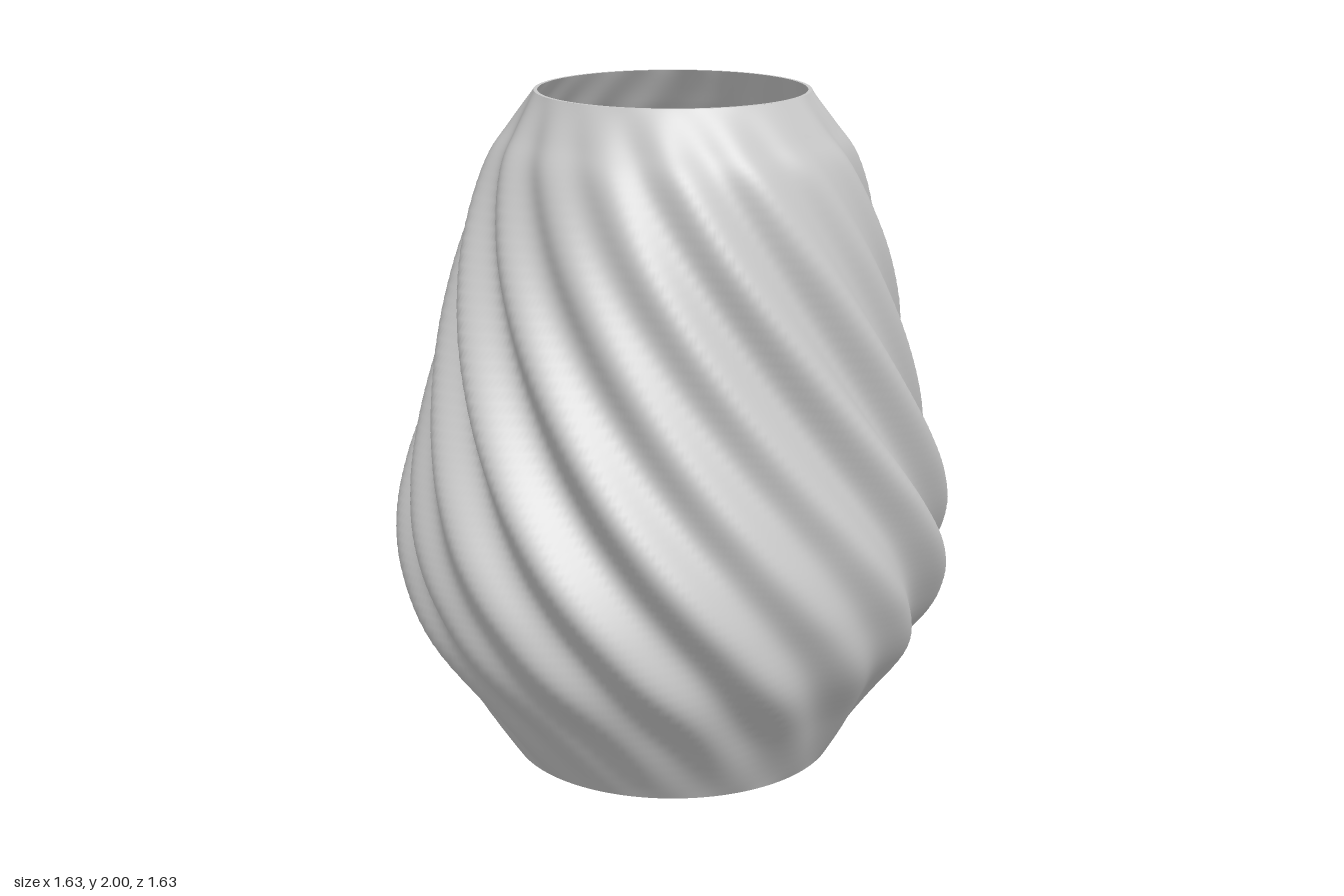
import * as THREE from 'three';

const TWIST = Math.PI / 3, PHASE = 0.15, DEPTH = 0.034, WALL = 0.011;
const AROUND = 320, ROWS = 72;

// Outer envelope of the vase: radius, height
const profile = new THREE.SplineCurve([
  [0.49, 0], [0.62, 0.2], [0.755, 0.4], [0.81, 0.57], [0.822, 0.72], [0.802, 0.87], [0.767, 1.02],
  [0.72, 1.2], [0.668, 1.4], [0.61, 1.6], [0.535, 1.8], [0.47, 1.9], [0.4, 2],
].map(([r, y]) => new THREE.Vector2(r, y)));

// Twisted surface: sixteen lobes, with one steeper step in each quarter, fading out at both ends
function lobedSurface(inset, inward) {
  const positions = [], index = [];
  for (let j = 0; j <= ROWS; j++) {
    const { x: r, y } = profile.getPoint(j / ROWS);
    const depth = DEPTH * Math.pow(Math.max(0, Math.sin(Math.PI * y / 2)), 0.85);
    for (let i = 0; i < AROUND; i++) {
      const a = (i / AROUND) * Math.PI * 2;
      const turn = a + TWIST * y - PHASE;
      const wave = -Math.sin(16 * turn) - 0.42 * Math.sin(12 * turn);
      const radius = r - inset + depth * (wave - 0.8);
      positions.push(Math.sin(a) * radius, y, Math.cos(a) * radius);
    }
  }
  for (let j = 0; j < ROWS; j++) {
    for (let i = 0; i < AROUND; i++) {
      const k = (i + 1) % AROUND;
      const a = j * AROUND + i, b = j * AROUND + k;
      const c = b + AROUND, d = a + AROUND;
      if (inward) index.push(a, c, b, a, d, c);
      else index.push(a, b, c, a, c, d);
    }
  }
  const geometry = new THREE.BufferGeometry();
  geometry.setAttribute('position', new THREE.Float32BufferAttribute(positions, 3));
  geometry.setIndex(index);
  geometry.computeVertexNormals();
  return geometry;
}

export function createModel() {
  const group = new THREE.Group();
  group.name = 'twistedVase';
  const grey = new THREE.MeshStandardMaterial({ color: 0xc8c8c8 });
  grey.name = 'light grey';

  const add = (name, geometry) => {
    const mesh = new THREE.Mesh(geometry, grey);
    mesh.name = name;
    group.add(mesh);
    return mesh;
  };

  // Ribbed wall, outside and inside
  add('outerWall', lobedSurface(0, false));
  add('innerWall', lobedSurface(WALL, true));

  // Flat lip joining the two walls at the top
  const lip = add('lip', new THREE.RingGeometry(0.4 - WALL, 0.4, 160));
  lip.rotation.x = -Math.PI / 2;
  lip.position.y = 2;

  // Floor with a round hole
  const disc = new THREE.Shape().absarc(0, 0, 0.489, 0, Math.PI * 2, false);
  disc.holes.push(new THREE.Path().absarc(0, 0, 0.186, 0, Math.PI * 2, true));
  const floor = add('floor', new THREE.ExtrudeGeometry(disc, {
    depth: 0.02, bevelEnabled: false, curveSegments: 80,
  }));
  floor.rotation.x = -Math.PI / 2;

  return group;
}
